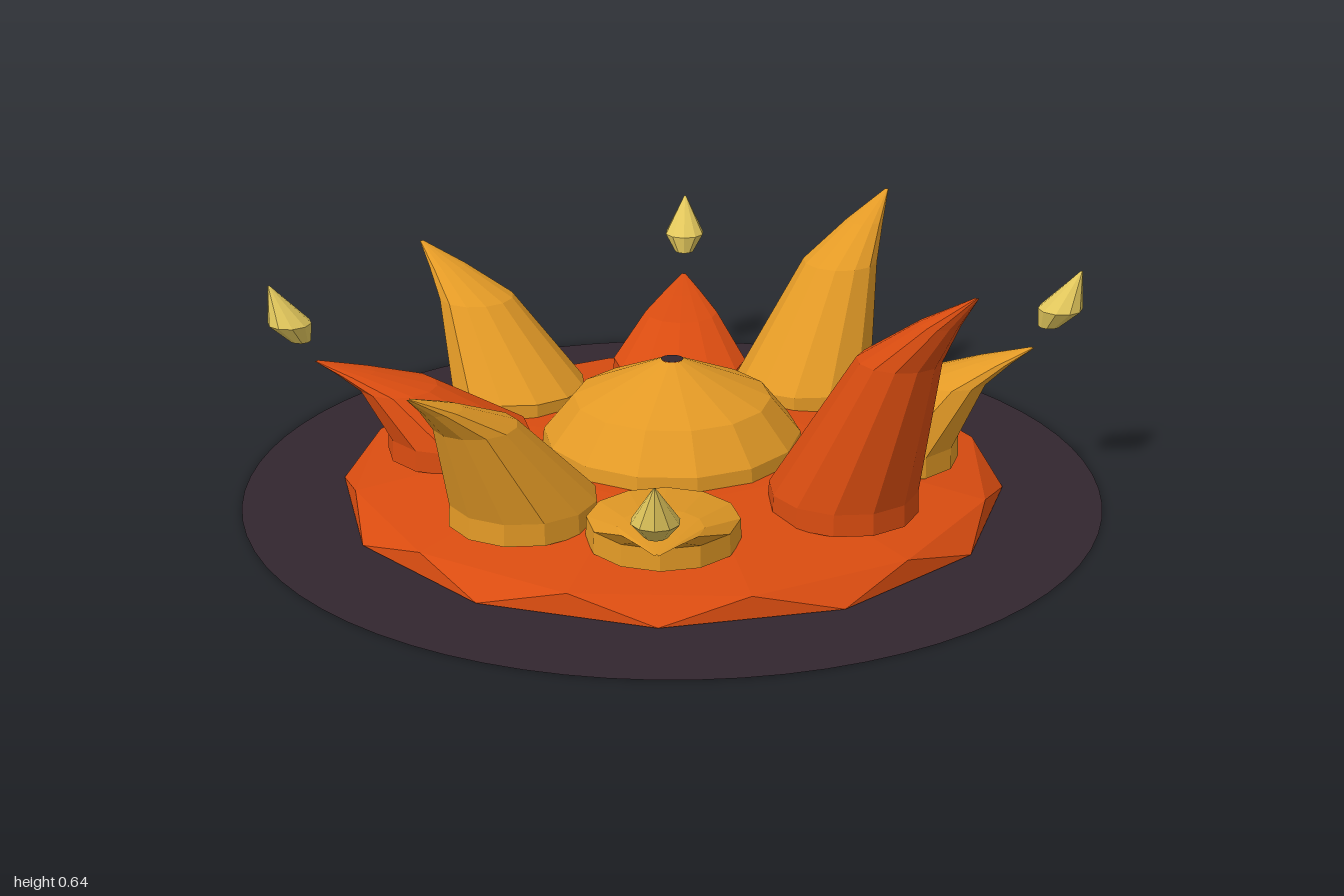
import * as THREE from 'three';

// Closed-around loft: each ring is [centreX, y, radius, twist in steps]
function loft(rings, sides) {
  const pos = [], index = [];
  for (const [cx, y, r, twist = 0] of rings) {
    for (let j = 0; j < sides; j++) {
      const a = ((j + twist) / sides) * Math.PI * 2;
      pos.push(cx + r * Math.cos(a), y, r * Math.sin(a));
    }
  }
  for (let i = 0; i < rings.length - 1; i++) {
    for (let j = 0; j < sides; j++) {
      const k = (j + 1) % sides;
      const a = i * sides + j, b = i * sides + k;
      const c = a + sides, d = b + sides;
      index.push(a, c, b, b, c, d);
    }
  }
  const g = new THREE.BufferGeometry();
  g.setAttribute('position', new THREE.Float32BufferAttribute(pos, 3));
  g.setIndex(index);
  g.computeVertexNormals();
  return g;
}

function material(name, color, extra = {}) {
  const m = new THREE.MeshStandardMaterial({ color, flatShading: true, ...extra });
  m.name = name;
  return m;
}

export function createModel() {
  const group = new THREE.Group();
  const scorched = material('scorched ground', 0x32262f, { side: THREE.DoubleSide });
  const orange = material('flame orange', 0xd94c10);
  const amber = material('flame amber', 0xe39a26);
  const gold = material('ember gold', 0xe2c75c);

  const add = (name, geometry, mat, angle = 0) => {
    const mesh = new THREE.Mesh(geometry, mat);
    mesh.name = name;
    mesh.rotation.y = -angle;
    group.add(mesh);
    return mesh;
  };

  // Flat burnt disc
  add('groundDisc', new THREE.CircleGeometry(1, 72).rotateX(-Math.PI / 2), scorched);

  // Faceted low mound
  add('mound', loft([
    [0, 0.002, 0.775, 0],
    [0, 0.05, 0.742, 0.5],
    [0, 0.085, 0.54, 0.5],
    [0, 0.102, 0.34, 0.5],
    [0, 0.108, 0.002, 0.5],
  ], 12), orange);

  // Central dome with a dark vent
  add('centreDome', loft([
    [0, 0.09, 0.305],
    [0, 0.135, 0.3],
    [0, 0.22, 0.23],
    [0, 0.31, 0.025],
  ], 14), amber);
  add('vent', new THREE.CircleGeometry(0.026, 14).rotateX(-Math.PI / 2), scorched).position.y = 0.311;

  // Flame tongues leaning outward: [quarter turns, skewed, tip height, colour]
  const skew = 0.675, baseY = 0.13;
  const tongues = [
    [0, 0, 0.35, amber], [0, 1, 0.64, orange],
    [1, 0, 0.19, amber], [1, 1, 0.45, amber],
    [2, 0, 0.295, orange], [2, 1, 0.43, amber],
    [3, 0, 0.25, orange], [3, 1, 0.54, amber],
  ];
  for (const [quarter, skewed, tipY, mat] of tongues) {
    const rings = [[0.5, 0.08, 0.168]];
    for (const [t, r] of [[0, 0.166], [0.65, 0.092], [0.85, 0.046], [1, 0.004]]) {
      rings.push([0.5 + 0.33 * t * t, baseY + (tipY - baseY) * t, r]);
    }
    add('flameTongue', loft(rings, 12), mat, quarter * Math.PI / 2 + skewed * skew);
  }

  // Floating embers above the four main tongues
  [0.40, 0.245, 0.342, 0.3].forEach((y, i) => {
    add('ember', loft([
      [0.86, y, 0.001],
      [0.862, y + 0.002, 0.024],
      [0.886, y + 0.045, 0.051],
      [0.93, y + 0.135, 0.002],
    ], 10), gold, i * Math.PI / 2);
  });

  return group;
}
